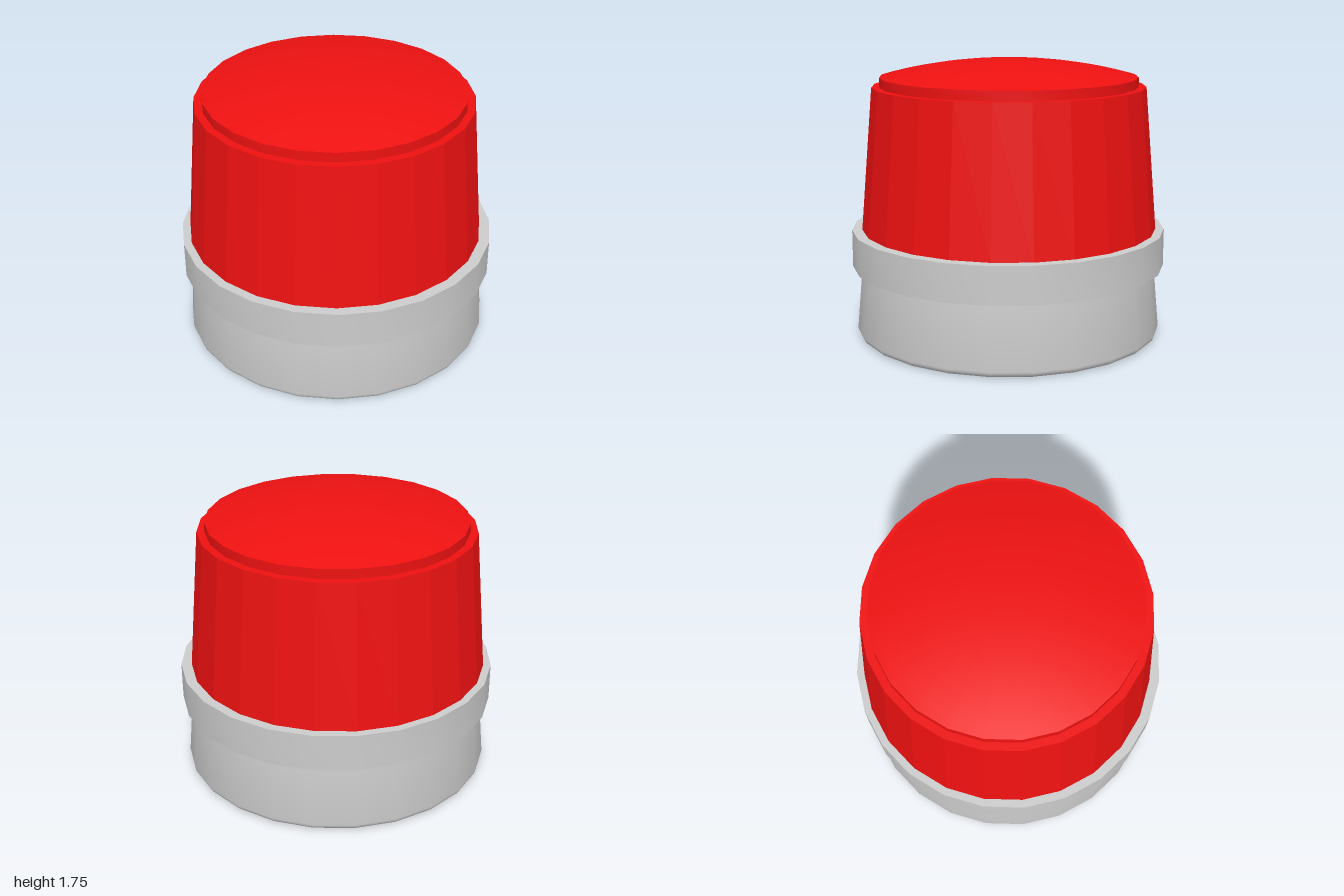
import * as THREE from 'three';
import { toCreasedNormals } from 'three/addons/utils/BufferGeometryUtils.js';

const SIDES = 24;
const grey = new THREE.MeshStandardMaterial({ color: 0xcccccc });
const red = new THREE.MeshStandardMaterial({ color: 0xee1111 });
const redFaceted = new THREE.MeshStandardMaterial({ color: 0xee1111, flatShading: true });

// Turned part from [radius, height] points listed bottom to top
function turned(name, points, material) {
  const profile = points.map(([r, y]) => new THREE.Vector2(r, y));
  const geometry = toCreasedNormals(new THREE.LatheGeometry(profile, SIDES), 0.45);
  const mesh = new THREE.Mesh(geometry, material);
  mesh.name = name;
  return mesh;
}

export function createModel() {
  const model = new THREE.Group();
  model.name = 'beaconLight';

  // Tapered base with a rounded bottom edge
  const basePoints = [[0, 0]];
  const bevel = 0.04;
  for (let i = 0; i <= 5; i++) {
    const a = (i / 5) * Math.PI / 2;
    basePoints.push([0.938 + bevel * Math.sin(a), bevel * (1 - Math.cos(a))]);
  }
  basePoints.push([0.94, 0.45]);
  model.add(turned('base', basePoints, grey));

  // Wide collar
  model.add(turned('collar', [[0, 0.445], [1, 0.445], [1, 0.68], [0, 0.68]], grey));

  // Lens sits very slightly off the base axis
  const lens = new THREE.Group();
  lens.name = 'lens';
  lens.position.set(-0.01, 0, -0.004);
  lens.add(turned('lensBody', [[0.943, 0.67], [0.864, 1.583], [0, 1.583]], redFaceted));
  lens.add(turned('lensRim', [[0.815, 1.583], [0.815, 1.643]], red));

  // Shallow spherical cap
  const rim = 0.815, rise = 0.107;
  const sphere = (rim * rim + rise * rise) / (2 * rise);
  const sweep = Math.asin(rim / sphere);
  const capPoints = [];
  for (let i = 0; i <= 10; i++) {
    const a = sweep * (1 - i / 10);
    capPoints.push([i === 10 ? 0 : sphere * Math.sin(a), 1.75 - sphere * (1 - Math.cos(a))]);
  }
  lens.add(turned('lensCap', capPoints, red));
  model.add(lens);

  return model;
}
